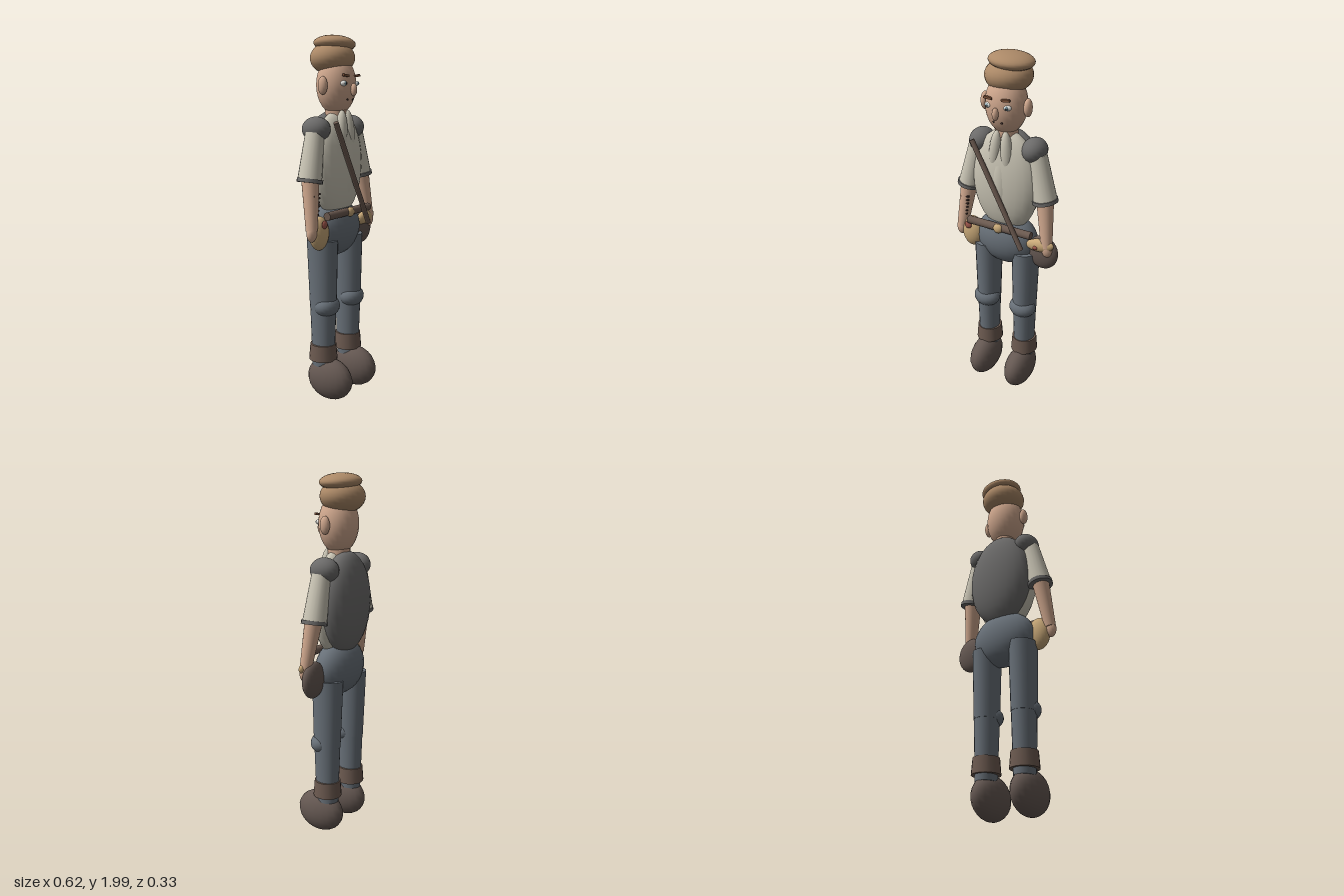
import * as THREE from 'three';

const mat = (c) => new THREE.MeshStandardMaterial({ color: c });

export function createModel() {
  const M = {
    skin: mat(0xd0a88e), hat: mat(0xad8a68), shirt: mat(0xc9c4b4), vest: mat(0x6c6b6a),
    cloth: mat(0x687078), boot: mat(0x655852), belt: mat(0x6c5a50), tan: mat(0xc8a878),
    red: mat(0xa0584c), dark: mat(0x3c2c28), brow: mat(0x7a5038), white: mat(0xe8e8e4), iris: mat(0x7898a4),
  };
  const model = new THREE.Group();
  model.name = 'figure';
  const body = new THREE.Group();
  body.name = 'body';
  body.position.x = -0.012;
  model.add(body);

  const add = (name, geo, material, parent = body) => {
    const m = new THREE.Mesh(geo, material);
    m.name = name;
    parent.add(m);
    return m;
  };
  // Ellipsoid from centre, radii and rotation
  const blob = (name, material, p, r, rot = [0, 0, 0], seg = 24) => {
    const m = add(name, new THREE.SphereGeometry(1, seg, Math.round(seg * 0.67)), material);
    m.position.set(...p);
    m.scale.set(...r);
    m.rotation.set(...rot);
    return m;
  };
  // Tapered rod between two points; depth stretches it in z
  const rod = (name, material, a, b, ra, rb, depth = 1, open = false) => {
    const A = new THREE.Vector3(...a), B = new THREE.Vector3(...b);
    const d = B.clone().sub(A);
    const m = add(name, new THREE.CylinderGeometry(rb, ra, d.length(), 20, 1, open), material);
    m.position.copy(A).add(B).multiplyScalar(0.5);
    m.quaternion.setFromUnitVectors(new THREE.Vector3(0, 1, 0), d.normalize());
    m.scale.z = depth;
    return m;
  };

  // Head and cap
  blob('head', M.skin, [0, 1.74, -0.018], [0.112, 0.158, 0.106]);
  blob('capBand', M.hat, [0, 1.88, -0.042], [0.127, 0.088, 0.118], [0, 0, 0.03]);
  blob('capCrown', M.hat, [0.016, 1.955, -0.04], [0.122, 0.044, 0.108], [0, 0, -0.06]);
  blob('nose', M.skin, [0, 1.715, 0.096], [0.017, 0.034, 0.018], [0, 0, 0], 14);
  for (const s of [-1, 1]) {
    blob('ear', M.skin, [s * 0.125, 1.737, -0.015], [0.022, 0.048, 0.028], [0, 0, 0], 16);
    blob('eye', M.white, [s * 0.056, 1.748, 0.07], [0.02, 0.014, 0.016], [0, s * 0.4, 0], 14);
    blob('iris', M.iris, [s * 0.056, 1.748, 0.083], [0.009, 0.01, 0.006], [0, 0, 0], 12);
    blob('pupil', M.dark, [s * 0.056, 1.748, 0.089], [0.004, 0.005, 0.002], [0, 0, 0], 10);
    const brow = add('eyebrow', new THREE.BoxGeometry(0.046, 0.012, 0.014), M.brow);
    brow.position.set(s * 0.05, 1.788, 0.08);
    brow.rotation.z = s * 0.1;
    rod('mouthCorner', M.dark, [s * 0.02, 1.662, 0.071], [s * 0.028, 1.668, 0.07], 0.005, 0.005);
  }
  rod('neck', M.skin, [0, 1.52, -0.02], [0, 1.64, -0.02], 0.06, 0.06);

  // Torso
  blob('shirt', M.shirt, [0, 1.315, -0.012], [0.198, 0.292, 0.09]);
  blob('vestBack', M.vest, [0, 1.325, -0.065], [0.194, 0.275, 0.103]);
  blob('shirtFront', M.shirt, [0, 1.31, 0.026], [0.065, 0.2, 0.056]);
  for (const s of [-1, 1])
    blob('collar', M.shirt, [s * 0.034, 1.49, 0.038], [0.034, 0.12, 0.034], [0, 0, s * 0.08], 16);
  blob('pelvis', M.cloth, [0, 0.965, -0.028], [0.188, 0.155, 0.107]);

  // Arms
  for (const s of [-1, 1]) {
    blob('shoulderPad', M.vest, [s * 0.157, 1.512, -0.034], [0.067, 0.066, 0.081], [0, 0, 0], 20);
    rod('sleeve', M.shirt, [s * 0.232, 1.25, -0.022], [s * 0.178, 1.49, -0.028], 0.064, 0.05, 1.02);
    rod('sleeveCuff', M.vest, [s * 0.235, 1.238, -0.02], [s * 0.231, 1.258, -0.02], 0.069, 0.069);
    rod('forearm', M.skin, [s * 0.267, 0.99, 0.016], [s * 0.234, 1.25, -0.016], 0.031, 0.047);
    blob('hand', M.skin, [s * 0.268, 0.982, 0.018], [0.032, 0.05, 0.026], [0, 0, s * 0.1], 16);
  }
  // Row of marks on the right forearm
  for (let i = 0; i < 6; i++) {
    const y = 1.178 - i * 0.022, x = -0.237 - i * 0.003;
    rod('armStitch', M.dark, [x - 0.026, y - 0.005, 0.027], [x + 0.026, y + 0.005, 0.03], 0.005, 0.005);
  }

  // Legs and boots
  for (const s of [-1, 1]) {
    const x = s * 0.119;
    rod('thigh', M.cloth, [x, 0.53, -0.022], [x, 0.915, -0.026], 0.066, 0.076, 1.18);
    rod('shin', M.cloth, [x, 0.2, -0.022], [x, 0.55, -0.022], 0.056, 0.066, 1.15);
    blob('knee', M.cloth, [x, 0.545, 0.005], [0.079, 0.06, 0.066], [0, 0, 0], 20);
    rod('bootCuff', M.belt, [x, 0.235, -0.023], [x, 0.325, -0.023], 0.078, 0.071, 1.03);
    blob('boot', M.boot, [x, 0.125, 0.023], [0.078, 0.119, 0.143], [0, 0, 0], 20);
  }

  // Belt, buckle and diagonal strap
  rod('belt', M.belt, [-0.195, 1.062, 0.062], [0.195, 1.062, 0.062], 0.022, 0.022);
  blob('buckle', M.tan, [0, 1.062, 0.077], [0.028, 0.027, 0.018], [0, 0, 0], 16);
  rod('strap', M.belt, [-0.148, 1.55, 0.086], [0.152, 0.98, 0.094], 0.014, 0.014);

  // Pouches with red fastenings
  blob('rightPouch', M.tan, [-0.198, 0.967, 0.012], [0.066, 0.092, 0.044]);
  blob('rightPouchStud', M.red, [-0.206, 1.02, 0.055], [0.022, 0.022, 0.01], [0, 0, 0], 14);
  blob('leftPouch', M.boot, [0.232, 0.937, -0.012], [0.09, 0.1, 0.04]);
  blob('leftPouchFlap', M.tan, [0.228, 0.995, 0.022], [0.084, 0.037, 0.026], [0, 0, 0.15]);
  blob('leftPouchStud', M.red, [0.212, 0.986, 0.047], [0.014, 0.012, 0.008], [0, 0, 0], 14);

  return model;
}
